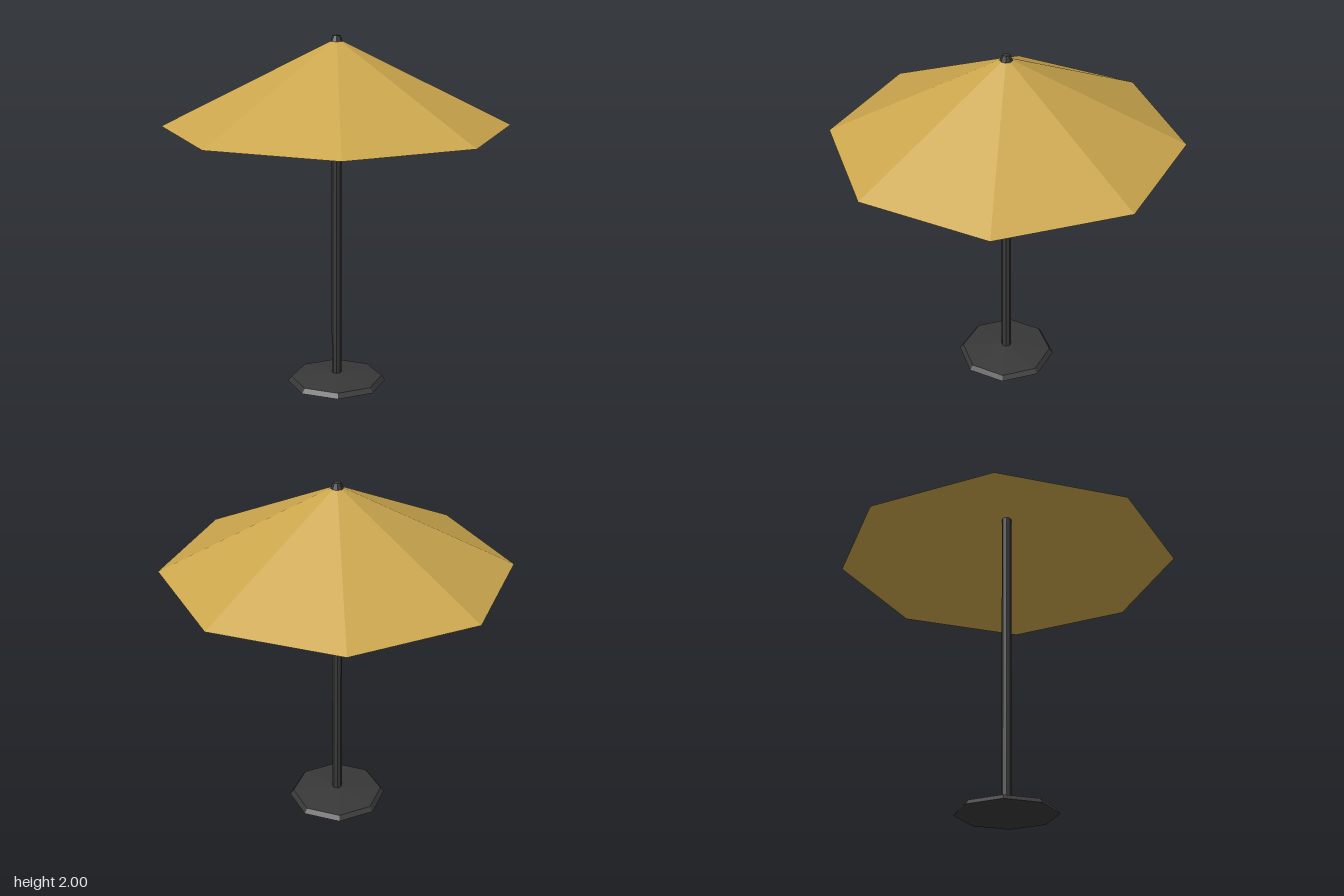
import * as THREE from 'three';

const SIDES = 8;

export function createModel() {
  const group = new THREE.Group();
  const fabric = new THREE.MeshStandardMaterial({ color: 0xcba64d, flatShading: true });
  fabric.name = 'tan fabric';
  const metal = new THREE.MeshStandardMaterial({ color: 0x383838, flatShading: true });
  metal.name = 'dark metal';

  // Eight-sided part turned from a [radius, height] profile, listed from the underside up
  function addTurned(name, material, profile) {
    const points = profile.map(([r, y]) => new THREE.Vector2(r, y));
    const mesh = new THREE.Mesh(new THREE.LatheGeometry(points, SIDES), material);
    mesh.name = name;
    group.add(mesh);
  }

  // Weighted foot: bevelled rim and shallow sloping top
  addTurned('base', metal, [[0, 0], [0.283, 0], [0.262, 0.027], [0.028, 0.052], [0, 0.052]]);

  // Pole running up into the canopy
  addTurned('pole', metal, [[0, 0.04], [0.028, 0.04], [0.028, 1.9], [0, 1.9]]);

  // Eight-panel canopy: shallow hollow underside, steeper top
  addTurned('canopy', fabric, [[0, 1.81], [0.965, 1.505], [0, 1.985]]);

  // Cap on the peak
  addTurned('finial', metal, [[0, 1.965], [0.036, 1.965], [0.021, 2], [0, 2]]);

  return group;
}
